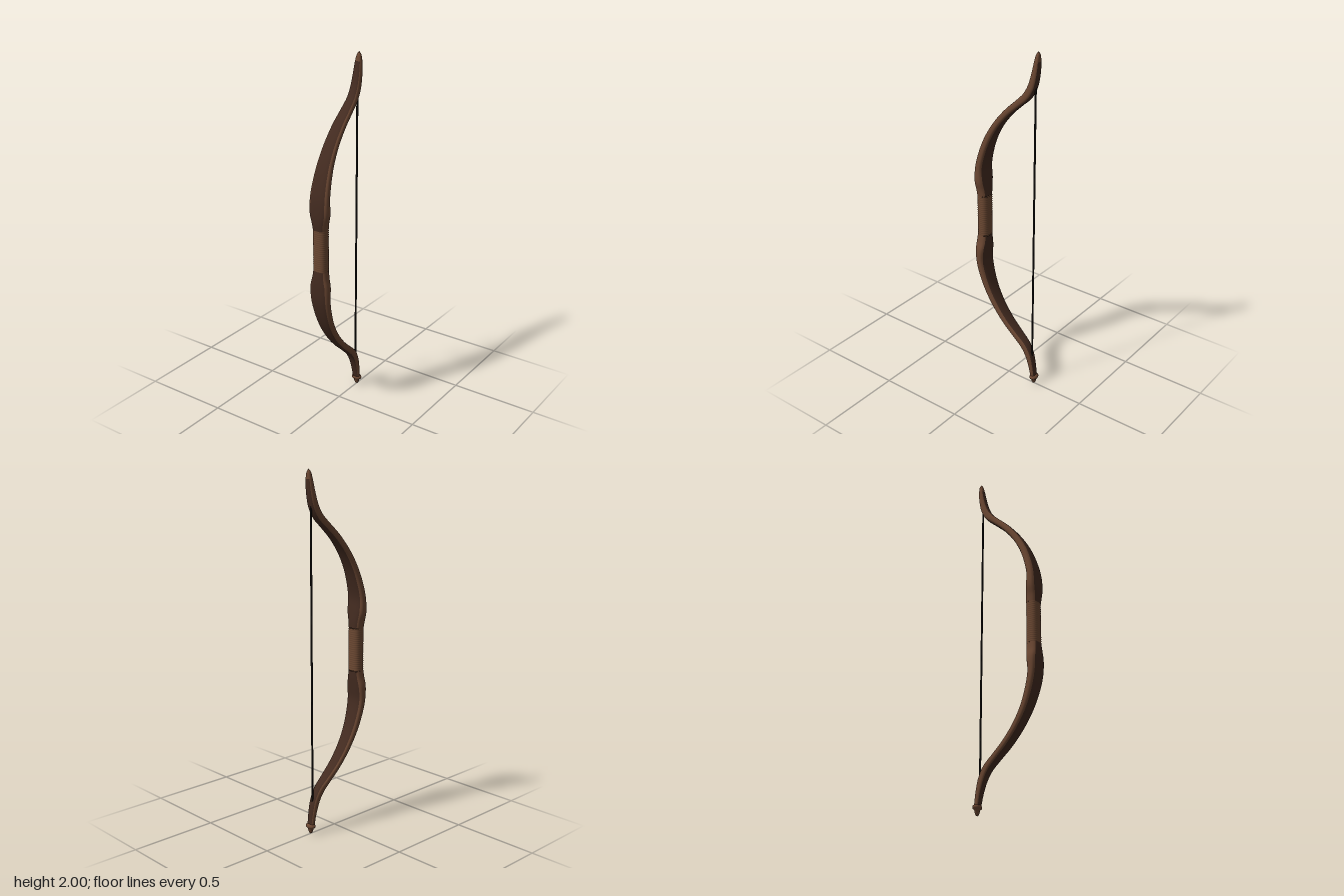
import * as THREE from 'three';

const mat = (name, color) => {
  const m = new THREE.MeshStandardMaterial({ color, side: THREE.DoubleSide });
  m.name = name;
  return m;
};

// Limb stations from grip to nock: x, y, half thickness, half width
const LIMB = [
  [-0.167, 1.12, 0.034, 0.04], [-0.17, 1.16, 0.035, 0.046], [-0.173, 1.21, 0.033, 0.058],
  [-0.173, 1.29, 0.027, 0.058], [-0.153, 1.38, 0.025, 0.053], [-0.119, 1.47, 0.023, 0.047],
  [-0.067, 1.56, 0.021, 0.042], [0, 1.643, 0.02, 0.038], [0.065, 1.705, 0.02, 0.034],
  [0.118, 1.757, 0.022, 0.03],
];
const UPPER = [...LIMB, [0.148, 1.81, 0.022, 0.028], [0.167, 1.88, 0.019, 0.025],
  [0.177, 1.95, 0.014, 0.019], [0.18, 1.985, 0.009, 0.011], [0.181, 2, 0.001, 0.001]];
const LOWER = [...LIMB, [0.148, 1.81, 0.021, 0.027], [0.168, 1.88, 0.017, 0.024],
  [0.18, 1.95, 0.014, 0.021]].map(([x, y, t, w]) => [x, 2 - y, t, w]).reverse();

// One lengthwise strip of a loft, between section angles a0 and a1
function strip(stations, u0, u1, a0, a1, power, rows, cols, ripple = 0) {
  const path = new THREE.CatmullRomCurve3(stations.map(s => new THREE.Vector3(s[0], s[1], 0)));
  const size = new THREE.CatmullRomCurve3(stations.map(s => new THREE.Vector3(s[2], s[3], s[1])));
  const pos = [], idx = [];
  const bend = v => Math.sign(v) * Math.pow(Math.abs(v), power);
  for (let i = 0; i <= rows; i++) {
    const u = u0 + (u1 - u0) * i / rows;
    const c = path.getPoint(u), d = path.getTangent(u), s = size.getPoint(u);
    const r = 1 + ripple * (i % 4 === 2 ? 1 : 0);
    for (let j = 0; j <= cols; j++) {
      const a = a0 + (a1 - a0) * j / cols;
      const n = bend(Math.cos(a)) * s.x * r;
      pos.push(c.x + d.y * n, c.y - d.x * n, bend(Math.sin(a)) * s.y * r);
    }
  }
  const k = cols + 1;
  for (let i = 0; i < rows; i++) {
    for (let j = 0; j < cols; j++) {
      const p = i * k + j;
      idx.push(p, p + k, p + k + 1, p, p + k + 1, p + 1);
    }
  }
  const g = new THREE.BufferGeometry();
  g.setAttribute('position', new THREE.Float32BufferAttribute(pos, 3));
  g.setIndex(idx);
  g.computeVertexNormals();
  return g;
}

export function createModel() {
  const bow = new THREE.Group();
  bow.name = 'bow';
  const sideWood = mat('side wood', 0x6b4732);
  const faceWood = mat('dark face wood', 0x432b20);
  const gripLeather = mat('grip leather', 0x6a4731);
  const cord = mat('cord', 0x14110f);
  const add = (name, geo, material, parent = bow) => {
    const m = new THREE.Mesh(geo, material);
    m.name = name;
    parent.add(m);
    return m;
  };

  // Limbs: dark belly and back, lighter rounded sides
  const e = 0.75, PI = Math.PI;
  const faces = [
    ['belly', -e, e, faceWood], ['frontSide', e, PI - e, sideWood],
    ['back', PI - e, PI + e, faceWood], ['rearSide', PI + e, 2 * PI - e, sideWood],
  ];
  const tipStart = (UPPER.length - 3) / (UPPER.length - 1);
  for (const [name, stations, end] of [['upperLimb', UPPER, tipStart], ['lowerLimb', LOWER, 1]]) {
    const limb = new THREE.Group();
    limb.name = name;
    for (const [face, a0, a1, m] of faces) {
      add(face, strip(stations, 0, end, a0, a1, 0.7, 72, 8), m, limb);
    }
    bow.add(limb);
  }
  add('upperTip', strip(UPPER, tipStart, 1, 0, 2 * PI, 0.7, 14, 32), sideWood);

  // Wrapped grip with fine ridges
  const gripStations = [0.88, 0.94, 1, 1.06, 1.12].map(y => [-0.167, y, 0.034, 0.04]);
  add('grip', strip(gripStations, 0, 1, 0, 2 * PI, 0.75, 80, 32, 0.03), gripLeather);

  // Finial on the lower nock
  const profile = [[0, 0], [0.006, 0.004], [0.011, 0.016], [0.014, 0.032], [0.021, 0.039],
    [0.023, 0.046], [0.021, 0.053], [0.015, 0.059], [0, 0.062]];
  const finial = add('finial', new THREE.LatheGeometry(
    profile.map(p => new THREE.Vector2(...p)), 24), sideWood);
  finial.position.x = 0.182;
  finial.scale.z = 1.35;

  // Bowstring
  const string = add('bowstring', new THREE.CylinderGeometry(0.0055, 0.0055, 1.66, 10), cord);
  string.position.set(0.167, 1.0, 0);

  return bow;
}
